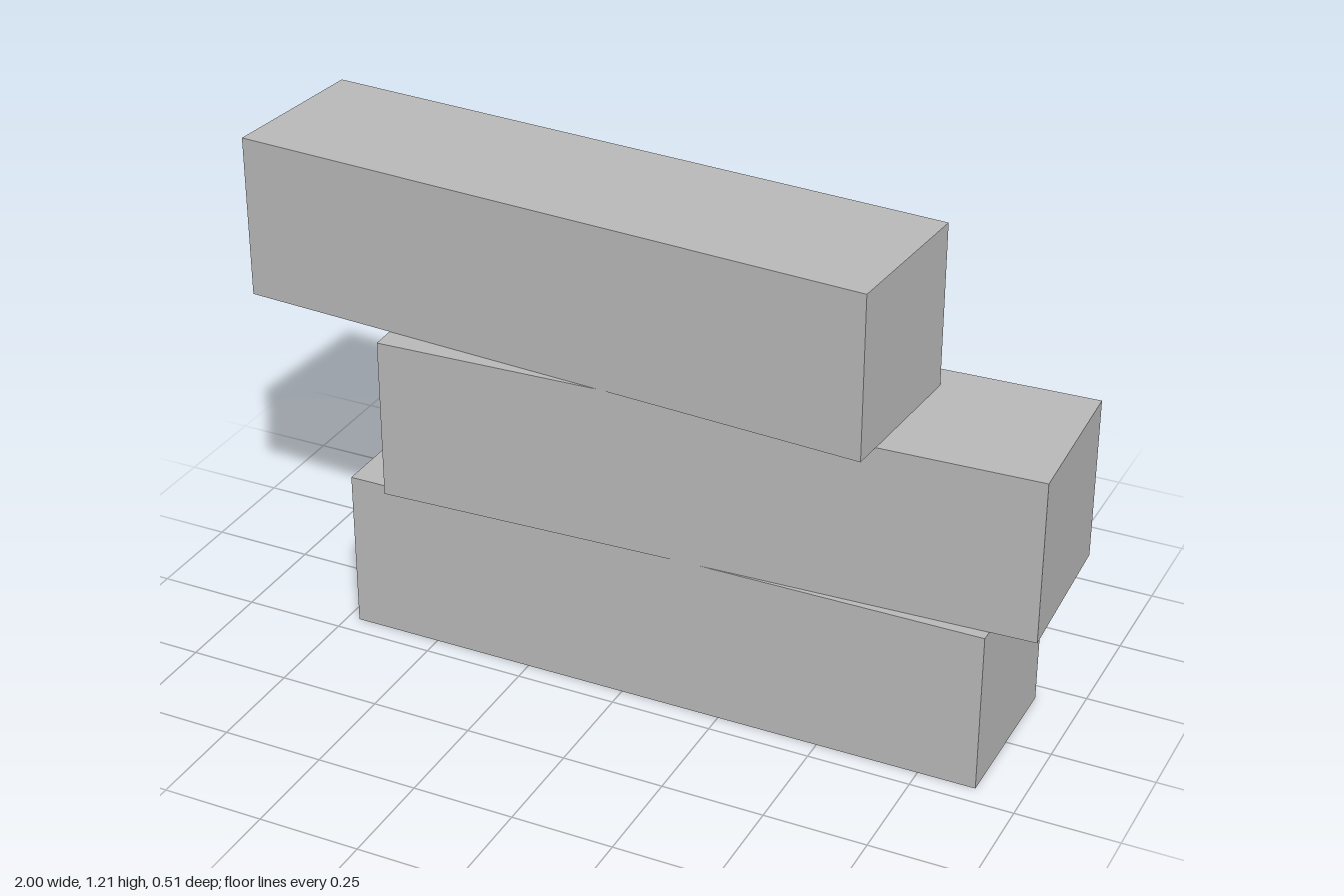
import * as THREE from 'three';

export function createModel() {
  const model = new THREE.Group();
  model.name = 'stackedBlocks';
  const grey = new THREE.MeshStandardMaterial({ color: 0xb8b8b8 });
  grey.name = 'plain grey';

  const length = 1.61, height = 0.4033, depth = 0.4;
  const geometry = new THREE.BoxGeometry(length, height, depth);

  // Equal blocks, each shifted along x and turned slightly
  const blocks = [
    { name: 'bottomBlock', x: 0.085, turn: 0 },
    { name: 'middleBlock', x: 0.187, turn: 0.0405 },
    { name: 'topBlock', x: -0.184, turn: -0.0705 },
  ];
  blocks.forEach(({ name, x, turn }, i) => {
    const block = new THREE.Mesh(geometry, grey);
    block.name = name;
    block.position.set(x, height * (i + 0.5), 0);
    block.rotation.y = turn;
    model.add(block);
  });
  return model;
}
